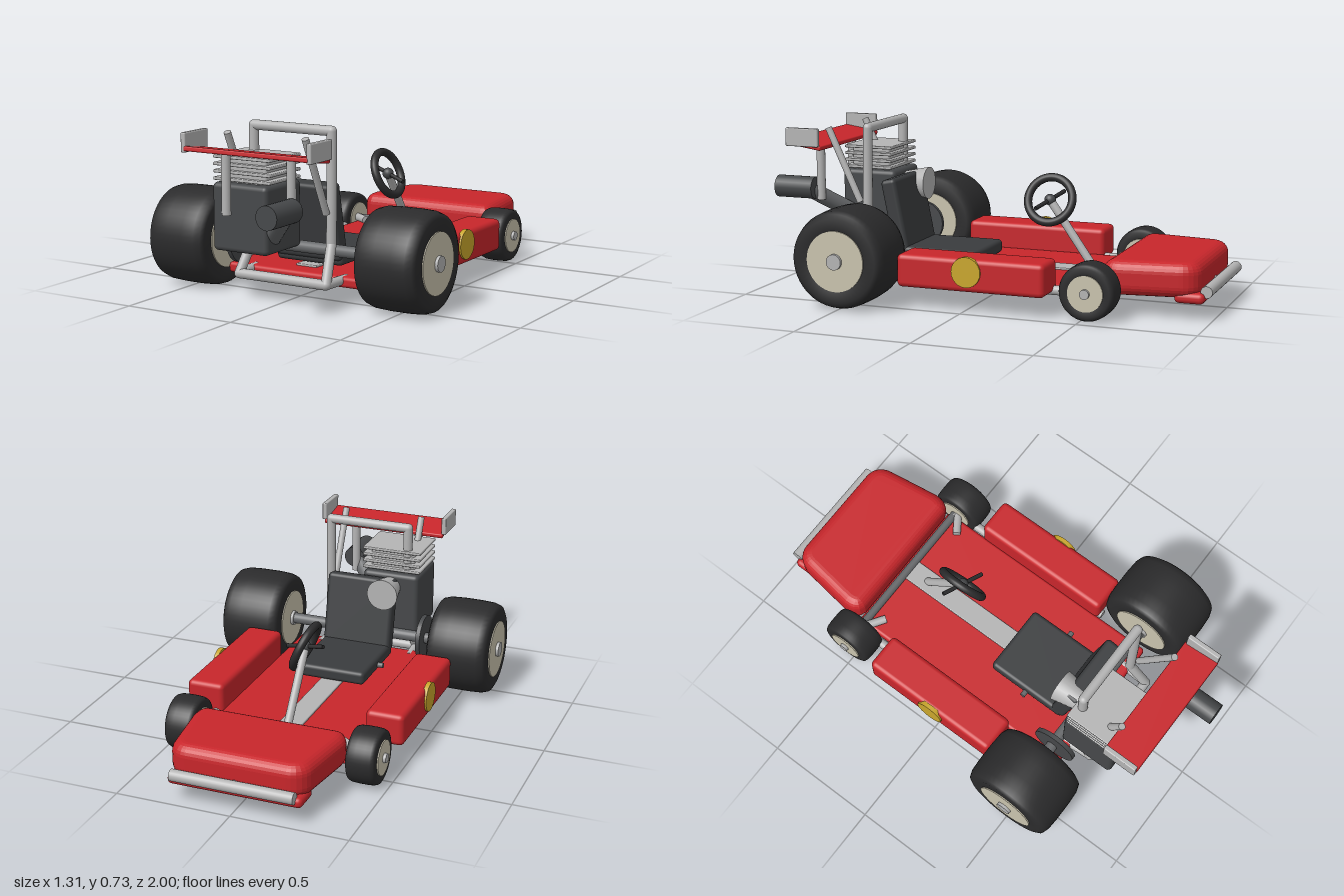
import * as THREE from 'three';
import { RoundedBoxGeometry } from 'three/addons/geometries/RoundedBoxGeometry.js';

const mat = (color) => new THREE.MeshStandardMaterial({ color });
const red = mat(0xc8262b), rubber = mat(0x2b2b2c), dark = mat(0x46484a), axleGrey = mat(0x66686a);
const steel = mat(0xb4b4b4), cream = mat(0xc9c3ae), yellow = mat(0xc9a62c), seatGrey = mat(0x3a3c3e);
const V = (p) => new THREE.Vector3(...p);

export function createModel() {
  const kart = new THREE.Group();
  kart.name = 'goKart';

  const add = (name, geometry, material, pos = [0, 0, 0], rot = [0, 0, 0], parent = kart) => {
    const mesh = new THREE.Mesh(geometry, material);
    mesh.name = name;
    mesh.position.set(...pos);
    mesh.rotation.set(...rot);
    parent.add(mesh);
    return mesh;
  };
  // Box given by its size and centre, with rounded edges
  const box = (name, size, pos, material, radius = 0.01, rot) =>
    add(name, new RoundedBoxGeometry(...size, 3, radius), material, pos, rot);
  // Straight rod between two points, radius r0 at the start and r1 at the end
  const rod = (name, a, b, r0, material, r1 = r0) => {
    const start = V(a), dir = V(b).sub(start);
    const mesh = add(name, new THREE.CylinderGeometry(r1, r0, dir.length(), 24), material);
    mesh.position.copy(start).addScaledVector(dir, 0.5);
    mesh.quaternion.setFromUnitVectors(new THREE.Vector3(0, 1, 0), dir.normalize());
    return mesh;
  };
  const ball = (name, pos, r, material) => add(name, new THREE.SphereGeometry(r, 20, 14), material, pos);
  // Rods joined by balls
  const pipe = (name, points, r, material) => points.forEach((p, i) => {
    ball(name + 'Joint', p, r, material);
    if (i) rod(name, points[i - 1], p, r, material);
  });

  // Wheel: lathed tyre, rim disc and hub cap
  const wheel = (name, x, y, z, radius, width, rimRadius, hubRadius) => {
    const group = new THREE.Group();
    group.name = name;
    const h = width / 2, c = width * 0.14;
    const profile = [
      [rimRadius * 0.9, -h * 0.9], [rimRadius, -h], [radius * 0.85, -h], [radius * 0.94, -h + c * 0.25],
      [radius * 0.985, -h + c], [radius, -h * 0.3], [radius, h * 0.3], [radius * 0.985, h - c],
      [radius * 0.94, h - c * 0.25], [radius * 0.85, h], [rimRadius, h], [rimRadius * 0.9, h * 0.9],
    ].map(([r, t]) => new THREE.Vector2(r, t));
    add('tyre', new THREE.LatheGeometry(profile, 48), rubber, [0, 0, 0], [0, 0, 0], group);
    add('rim', new THREE.CylinderGeometry(rimRadius, rimRadius, width + 0.01, 40), cream, [0, 0, 0], [0, 0, 0], group);
    add('hub', new THREE.CylinderGeometry(hubRadius, hubRadius, width + 0.036, 24), steel, [0, 0, 0], [0, 0, 0], group);
    group.rotation.z = Math.PI / 2;
    group.position.set(x, y, z);
    kart.add(group);
  };

  // Floor pan and centre strip
  box('floorPan', [0.66, 0.045, 1.11], [0, 0.095, -0.005], red, 0.015);
  box('centreStrip', [0.1, 0.012, 1.0], [0, 0.12, -0.04], steel, 0.004);

  // Nose: tapered outline with a rounded bevel
  const outline = new THREE.Shape();
  outline.moveTo(-0.28, 0.6);
  outline.lineTo(0.28, 0.6);
  outline.quadraticCurveTo(0.287, 0.6, 0.287, 0.63);
  outline.lineTo(0.255, 0.86);
  outline.quadraticCurveTo(0.25, 0.9, 0.215, 0.9);
  outline.lineTo(-0.215, 0.9);
  outline.quadraticCurveTo(-0.25, 0.9, -0.255, 0.86);
  outline.lineTo(-0.287, 0.63);
  outline.quadraticCurveTo(-0.287, 0.6, -0.28, 0.6);
  const nose = new THREE.ExtrudeGeometry(outline, {
    depth: 0.05, bevelThickness: 0.048, bevelSize: 0.048, bevelSegments: 6, curveSegments: 6,
  });
  nose.rotateX(-Math.PI / 2);
  add('nose', nose, red, [0, 0.138, 0]);
  box('noseLip', [0.58, 0.045, 0.125], [0, 0.093, -0.907], red, 0.02);
  rod('frontBumper', [-0.265, 0.12, -0.975], [0.265, 0.12, -0.975], 0.025, steel);
  rod('bumperMount', [0, 0.12, -0.975], [0, 0.12, -0.9], 0.015, steel);

  // Axles and brake disc
  rod('frontAxle', [-0.36, 0.123, -0.53], [0.36, 0.123, -0.53], 0.018, axleGrey);
  rod('rearAxle', [-0.4, 0.21, 0.497], [0.4, 0.21, 0.497], 0.025, axleGrey);
  rod('brakeDisc', [-0.3, 0.213, 0.505], [-0.28, 0.213, 0.505], 0.1, dark);

  for (const s of [-1, 1]) {
    wheel('rearWheel', s * 0.5, 0.21, 0.497, 0.209, 0.274, 0.128, 0.033);
    wheel('frontWheel', s * 0.403, 0.121, -0.528, 0.119, 0.125, 0.075, 0.02);
    // Side pod with round badge plate
    box('sidePod', [0.168, 0.14, 0.65], [s * 0.408, 0.16, -0.035], red, 0.022);
    rod('podDisc', [s * 0.48, 0.176, -0.025], [s * 0.5, 0.176, -0.025], 0.064, yellow);
    // Frame rails and steering links
    rod('frameRail', [s * 0.355, 0.1, -0.42], [s * 0.355, 0.1, 0.3], 0.02, steel);
    rod('underRail', [s * 0.25, 0.08, -0.54], [s * 0.25, 0.08, -0.26], 0.012, axleGrey);
    rod('steeringLink', [s * 0.35, 0.13, -0.52], [s * 0.26, 0.13, -0.46], 0.018, steel);
    // Rear hoop post, wing struts and end plate
    pipe('hoopPost', [[s * 0.21, 0.1, 0.64], [s * 0.187, 0.25, 0.56], [s * 0.187, 0.708, 0.555]], 0.021, steel);
    rod('bumperArm', [s * 0.21, 0.1, 0.64], [s * 0.22, 0.1, 0.5], 0.02, steel);
    rod('wingPost', [s * 0.155, 0.375, 0.8], [s * 0.155, 0.63, 0.8], 0.019, steel);
    rod('wingBrace', [s * 0.185, 0.38, 0.595], [s * 0.185, 0.7, 0.745], 0.015, steel);
    box('wingEndPlate', [0.022, 0.08, 0.155], [s * 0.295, 0.668, 0.817], steel, 0.005);
  }
  rod('underCrossRail', [-0.25, 0.08, -0.53], [0.25, 0.08, -0.53], 0.012, axleGrey);
  rod('hoopBar', [-0.187, 0.708, 0.555], [0.187, 0.708, 0.555], 0.021, steel);
  rod('rearBumper', [-0.21, 0.1, 0.64], [0.21, 0.1, 0.64], 0.021, steel);
  box('rearWing', [0.585, 0.02, 0.165], [0, 0.633, 0.815], red, 0.006, [-0.15, 0, 0]);

  // Seat
  box('seatPan', [0.32, 0.06, 0.38], [0, 0.16, 0.25], seatGrey, 0.018);
  box('seatBack', [0.32, 0.33, 0.07], [0, 0.318, 0.448], seatGrey, 0.018, [0.2, 0, 0]);
  rod('seatBolt', [-0.185, 0.155, 0.25], [0.185, 0.155, 0.25], 0.012, axleGrey);

  // Steering: the ring stands nearly fore-and-aft, leaning to one side
  const ring = new THREE.TorusGeometry(0.1, 0.018, 16, 48);
  ring.rotateY(Math.PI / 2);
  add('steeringWheel', ring, rubber, [0, 0.41, -0.217], [0, 0, 0.4]);
  rod('steeringSpoke', [-0.095, 0.435, -0.25], [0.095, 0.385, -0.184], 0.009, rubber);
  ball('steeringHub', [0, 0.41, -0.217], 0.025, dark);
  rod('steeringColumn', [0, 0.41, -0.217], [0, 0.115, -0.425], 0.018, steel);

  // Engine with cooling fins and air intake
  box('engineBlock', [0.265, 0.28, 0.255], [-0.12, 0.355, 0.637], dark, 0.02);
  box('cylinderCore', [0.21, 0.11, 0.18], [-0.118, 0.54, 0.637], steel, 0.01);
  for (let i = 0; i < 4; i++)
    box('coolingFin', [0.275, 0.013, 0.225], [-0.118, 0.508 + i * 0.03, 0.637], steel, 0.004);
  rod('airIntake', [-0.12, 0.43, 0.4], [-0.12, 0.43, 0.53], 0.072, steel, 0.045);

  // Exhaust
  rod('exhaustPipe', [-0.02, 0.275, 0.68], [0.172, 0.425, 0.86], 0.036, axleGrey);
  rod('muffler', [0.172, 0.428, 0.82], [0.172, 0.428, 1.0], 0.049, dark);

  return kart;
}
